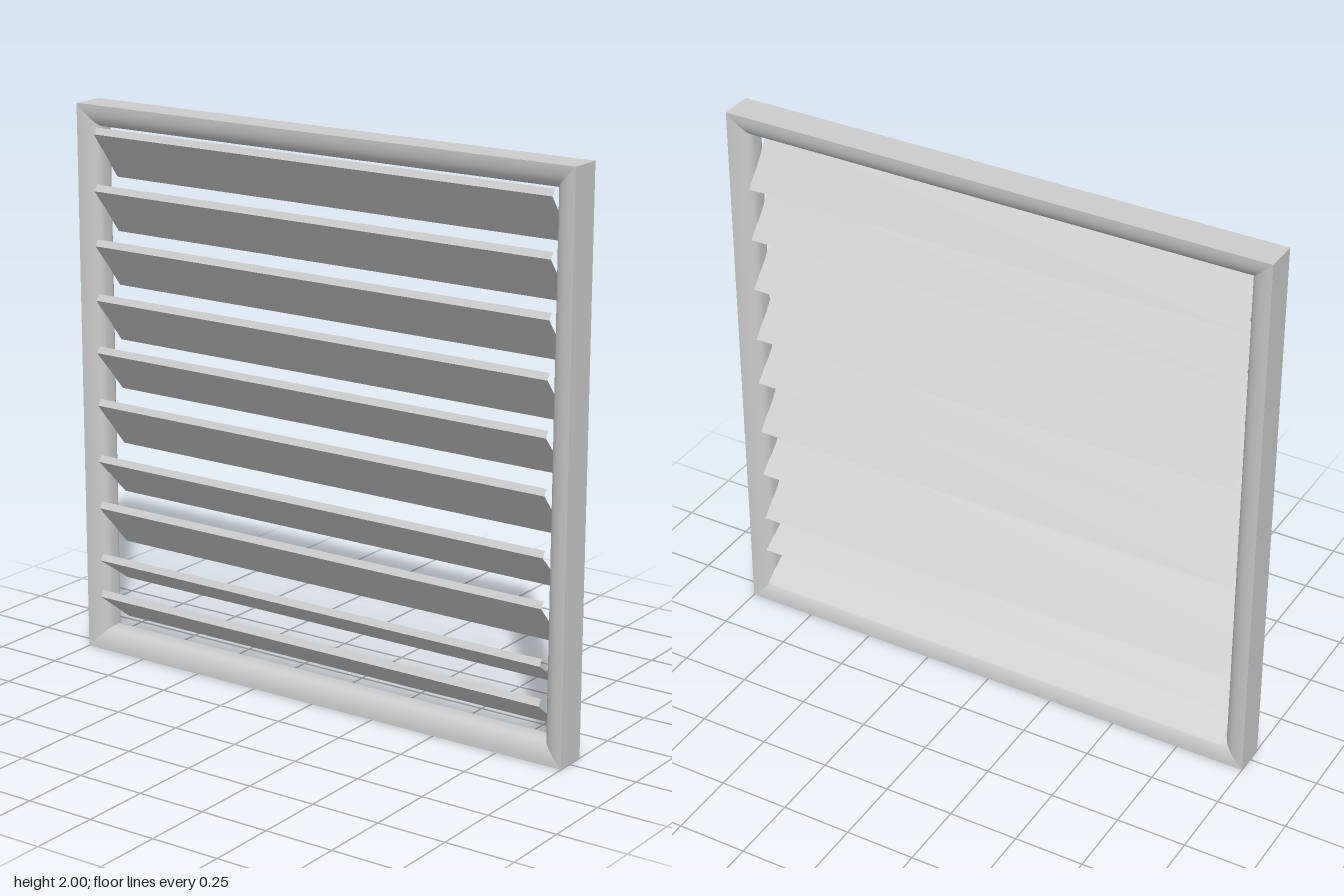
import * as THREE from 'three';
import { toCreasedNormals } from 'three/addons/utils/BufferGeometryUtils.js';

const HALF = 1, BAR = 0.08, DEPTH = 0.06, FRAME_Z = -0.004;

// One mitred frame bar: flat outside, rounded shoulders, narrow flat inside
function barGeometry() {
  const shape = new THREE.Shape();
  const steps = 8, flat = 0.015;
  shape.moveTo(0, -DEPTH);
  for (let i = 1; i <= steps; i++) {
    const t = (i / steps) * Math.PI / 2;
    shape.lineTo(BAR * Math.sin(t), -flat - (DEPTH - flat) * Math.cos(t));
  }
  for (let i = steps; i >= 0; i--) {
    const t = (i / steps) * Math.PI / 2;
    shape.lineTo(BAR * Math.sin(t), flat + (DEPTH - flat) * Math.cos(t));
  }
  shape.closePath();
  const geo = new THREE.ExtrudeGeometry(shape, { depth: 2, bevelEnabled: false });
  // Lay the bar along x and cut its ends at 45 degrees
  const p = geo.attributes.position;
  for (let i = 0; i < p.count; i++) {
    const d = p.getX(i), z = p.getY(i), s = p.getZ(i) - 1;
    p.setXYZ(i, -s * (HALF - d), HALF - d, z);
  }
  return toCreasedNormals(geo, 0.6);
}

// Thin folded sheet following [z, y] points across the opening
function sheetGeometry(profile, halfWidth) {
  const pos = [];
  for (let i = 0; i < profile.length - 1; i++) {
    const [z0, y0] = profile[i], [z1, y1] = profile[i + 1];
    const a = [-halfWidth, y0, z0], b = [halfWidth, y0, z0];
    const c = [halfWidth, y1, z1], d = [-halfWidth, y1, z1];
    pos.push(...a, ...b, ...c, ...a, ...c, ...d);
  }
  const geo = new THREE.BufferGeometry();
  geo.setAttribute('position', new THREE.Float32BufferAttribute(pos, 3));
  geo.computeVertexNormals();
  return geo;
}

export function createModel() {
  const model = new THREE.Group();
  model.name = 'louvreVent';
  const frameMat = new THREE.MeshStandardMaterial({ color: 0xcccccc });
  const slatMat = new THREE.MeshStandardMaterial({ color: 0xcccccc, side: THREE.DoubleSide });

  // Square frame from four mitred bars
  const frame = new THREE.Group();
  frame.name = 'frame';
  frame.position.set(0, 1, FRAME_Z);
  const bar = barGeometry();
  ['topBar', 'rightBar', 'bottomBar', 'leftBar'].forEach((name, k) => {
    const mesh = new THREE.Mesh(bar, frameMat);
    mesh.name = name;
    mesh.rotation.z = k * Math.PI / 2;
    frame.add(mesh);
  });
  model.add(frame);

  // Slats: [top, bottom] heights, high at the front, lower ones lying flatter
  const slats = new THREE.Group();
  slats.name = 'slats';
  const spans = [
    [1.92, 1.73], [1.72, 1.535], [1.525, 1.34], [1.33, 1.14], [1.14, 0.96],
    [0.948, 0.755], [0.74, 0.573], [0.567, 0.382], [0.37, 0.241], [0.232, 0.091],
  ];
  spans.forEach(([top, bottom], i) => {
    const reach = 0.062 + 0.016 * i / (spans.length - 1);
    const profile = [
      [-reach - 0.002, bottom],
      [reach - 0.002, top - 0.022],
      [reach - 0.016, top], // folded lip
    ];
    const mesh = new THREE.Mesh(sheetGeometry(profile, HALF - BAR + 0.002), slatMat);
    mesh.name = `slat${i + 1}`;
    slats.add(mesh);
  });
  model.add(slats);
  return model;
}
